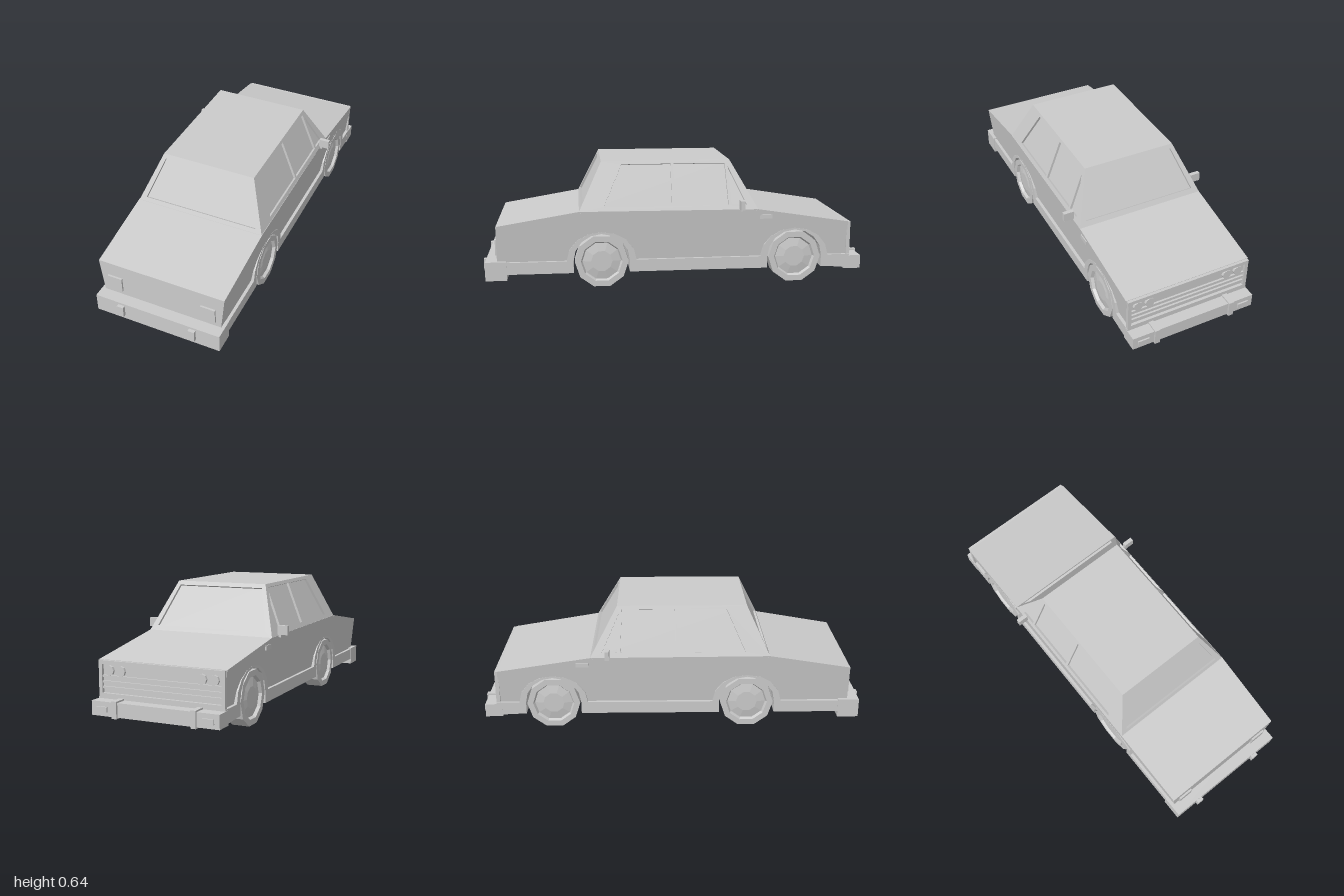
import * as THREE from 'three';

const mat = new THREE.MeshStandardMaterial({ color: 0xcccccc, flatShading: true });
const WHEEL_Z = [0.385, -0.63], AXLE_Y = 0.135;

export function createModel() {
  const car = new THREE.Group();
  car.name = 'sedan';

  const add = (name, geometry) => {
    const mesh = new THREE.Mesh(geometry, mat);
    mesh.name = name;
    car.add(mesh);
    return mesh;
  };
  // Box given by its limits on each axis
  const box = (name, x0, x1, y0, y1, z0, z1) => {
    const mesh = add(name, new THREE.BoxGeometry(Math.abs(x1 - x0), y1 - y0, Math.abs(z1 - z0)));
    mesh.position.set((x0 + x1) / 2, (y0 + y1) / 2, (z0 + z1) / 2);
    return mesh;
  };
  // Side profile of [z, y] points, extruded across the car
  const sideExtrude = (points, halfWidth) => {
    const shape = new THREE.Shape(points.map(([z, y]) => new THREE.Vector2(-z, y)));
    return new THREE.ExtrudeGeometry(shape, { depth: 2 * halfWidth, bevelEnabled: false })
      .translate(0, 0, -halfWidth).rotateY(Math.PI / 2);
  };
  // Wheel arch from rear to front
  const arch = (z, rz, ry, n = 8) => Array.from({ length: n + 1 }, (_, i) => {
    const a = Math.PI * i / n;
    return [z + rz * Math.cos(a), 0.14 + ry * Math.sin(a)];
  });

  // Upper body, narrowing towards the sill, with wheel tunnels
  const bodyGeo = sideExtrude([
    [0.92, 0.14], ...WHEEL_Z.flatMap((z) => arch(z, 0.145, 0.14)),
    [-0.915, 0.14], [-0.915, 0.318], [-0.43, 0.395], [0.5, 0.4], [0.92, 0.33],
  ], 1);
  const p = bodyGeo.attributes.position;
  for (let i = 0; i < p.count; i++) {
    p.setX(i, p.getX(i) * (0.32 + (p.getY(i) - 0.14) * 0.106));
  }
  bodyGeo.computeVertexNormals();
  add('body', bodyGeo);

  // Floor, sills and arch lips in one profile
  const lower = [[0.92, 0.077]];
  for (const z of WHEEL_Z) {
    lower.push([z + 0.145, 0.077], ...arch(z, 0.145, 0.14), [z - 0.145, 0.077]);
  }
  lower.push([-0.93, 0.07], [-0.93, 0.14]);
  for (const z of [...WHEEL_Z].reverse()) lower.push(...arch(z, 0.18, 0.15).reverse());
  lower.push([0.92, 0.14]);
  add('sillsAndArches', sideExtrude(lower, 0.336));

  // Cabin: sloping frames with window openings and glass set behind them
  const V = (x, y, z) => new THREE.Vector3(x, y, z);
  const windowPanel = (name, outline, holes) => {
    const [a, b, , d] = outline;
    const u = b.clone().sub(a).normalize();
    const n = u.clone().cross(d.clone().sub(a)).normalize();
    const v = n.clone().cross(u);
    const flat = (pts) => pts.map((q) => {
      const r = q.clone().sub(a);
      return new THREE.Vector2(r.dot(u), r.dot(v));
    });
    const place = (geo, depth) => geo.applyMatrix4(new THREE.Matrix4().makeBasis(u, v, n)
      .setPosition(a.clone().addScaledVector(n, -depth)));
    const frame = new THREE.Shape(flat(outline));
    frame.holes = holes.map((h) => new THREE.Path(flat(h)));
    add(name + 'Frame', place(new THREE.ExtrudeGeometry(frame, { depth: 0.015, bevelEnabled: false }), 0.015));
    add(name + 'Glass', place(new THREE.ShapeGeometry(new THREE.Shape(flat(outline))), 0.012));
  };
  const endPanel = (name, s, zBase, zRoof) => {
    const at = (x, y) => V(s * x, y, zBase + (zRoof - zBase) * (y - 0.395) / 0.25);
    const quad = (xb, xt, yb, yt) => [at(-xb, yb), at(xb, yb), at(xt, yt), at(-xt, yt)];
    windowPanel(name, quad(0.347, 0.25, 0.395, 0.645), [quad(0.307, 0.235, 0.42, 0.625)]);
  };
  endPanel('rearWindow', 1, 0.5, 0.38);
  endPanel('windscreen', -1, -0.43, -0.29);
  for (const s of [1, -1]) {
    const at = ([z, y]) => V(s * (0.347 - (y - 0.395) * 0.388), y, z);
    const base = [[0.5, 0.395], [-0.43, 0.395], [-0.29, 0.645], [0.38, 0.645]];
    const outline = (s > 0 ? base : [base[1], base[0], base[3], base[2]]).map(at);
    windowPanel(s > 0 ? 'leftWindows' : 'rightWindows', outline, [
      [[0.372, 0.42], [0.02, 0.42], [0.02, 0.628], [0.275, 0.628]].map(at),
      [[0.005, 0.42], [-0.275, 0.42], [-0.265, 0.628], [0.005, 0.628]].map(at),
      [[-0.29, 0.42], [-0.37, 0.42], [-0.28, 0.61]].map(at),
    ]);
  }
  box('roof', -0.25, 0.25, 0.635, 0.645, -0.29, 0.38);

  // Nose: surround, grille bars and paired lamps
  box('grilleTop', -0.335, 0.335, 0.297, 0.316, -0.93, -0.91);
  box('grilleBottom', -0.322, 0.322, 0.14, 0.158, -0.93, -0.91);
  for (const y of [0.185, 0.212, 0.239]) {
    box('grilleBar', -0.32, 0.32, y - 0.005, y + 0.005, -0.925, -0.91);
  }

  // Bumpers
  box('rearBumper', -0.339, 0.339, 0.047, 0.145, 0.87, 0.98);
  box('frontBumper', -0.337, 0.337, 0.062, 0.132, -0.99, -0.9);

  for (const s of [1, -1]) {
    box('grilleSide', s * 0.316, s * 0.334, 0.14, 0.316, -0.93, -0.91);
    for (const x of [0.215, 0.278]) {
      const lamp = add('headlamp', new THREE.CylinderGeometry(0.025, 0.025, 0.014, 8).rotateX(Math.PI / 2));
      lamp.position.set(s * x, 0.268, -0.921);
    }
    box('frontOverrider', s * 0.195, s * 0.222, 0.056, 0.14, -1, -0.93);
    box('frontIndicator', s * 0.25, s * 0.31, 0.083, 0.108, -0.998, -0.98);
    box('rearOverrider', s * 0.178, s * 0.213, 0.072, 0.133, 0.97, 0.997);
    box('rearLamp', s * 0.215, s * 0.293, 0.172, 0.252, 0.91, 0.93);
    box('sideIndicator', s * 0.33, s * 0.349, 0.344, 0.367, -0.505, -0.44);

    // Door mirror on a short stalk
    box('mirror', s * 0.342, s * 0.397, 0.4, 0.447, -0.351, -0.33);
    box('mirrorStalk', s * 0.33, s * 0.36, 0.387, 0.405, -0.346, -0.333);

    // Ten-sided wheels with a recessed, slightly domed hub
    for (const z of WHEEL_Z) {
      const profile = [[0, -0.045], [0.139, -0.045], [0.139, 0.045], [0.108, 0.045], [0.1, 0.03], [0.055, 0.038], [0, 0.038]]
        .map(([r, h]) => new THREE.Vector2(r, h));
      const wheel = add('wheel', new THREE.LatheGeometry(profile, 10).rotateZ(-s * Math.PI / 2));
      wheel.position.set(s * 0.29, AXLE_Y, z);
    }
  }
  return car;
}
